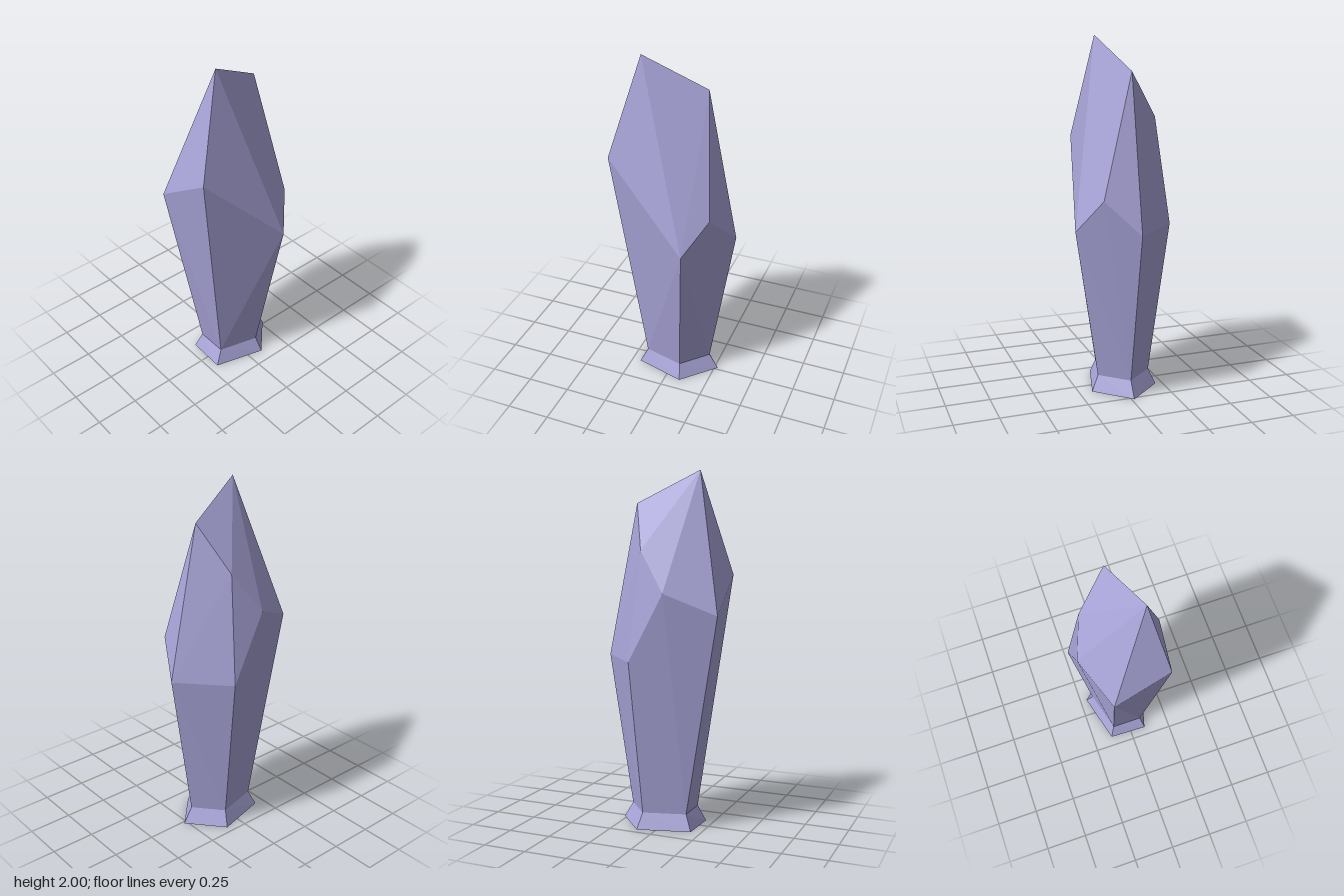
import * as THREE from 'three';
import { ConvexGeometry } from 'three/addons/geometries/ConvexGeometry.js';

export function createModel() {
  const group = new THREE.Group();
  group.name = 'crystal';
  const material = new THREE.MeshStandardMaterial({ color: 0xa8a4d8, flatShading: true });

  const points = (list) => list.map((p) => new THREE.Vector3(...p));
  const ring = (y, list) => points(list.map(([x, z]) => [x, y, z]));

  // Five-sided outlines of the narrow neck and the flared foot
  const neck = ring(0.09, [[-0.155, 0.075], [0.075, 0.135], [0.215, -0.015], [0.083, -0.17], [-0.155, -0.105]]);
  const foot = ring(0, [[-0.2, 0.095], [0.09, 0.175], [0.27, -0.015], [0.103, -0.21], [-0.193, -0.132]]);

  // Upper corners: the tip ridge, the bevels and the widest corners
  const crown = points([
    [-0.165, 2, 0.068], [0.173, 1.82, -0.03],
    [0.075, 1.565, -0.202], [-0.083, 1.34, -0.273], [0.252, 1.145, 0.155],
    [-0.33, 1.425, 0.162], [-0.353, 1.22, -0.16],
    [0.136, 0.96, 0.28], [0.35, 0.962, -0.027], [0.115, 0.962, -0.282],
  ]);

  const addPart = (name, corners) => {
    const mesh = new THREE.Mesh(new ConvexGeometry(corners), material);
    mesh.name = name;
    group.add(mesh);
  };
  addPart('crystalBody', [...crown, ...neck]);
  addPart('flaredFoot', [...neck, ...foot]);

  return group;
}
